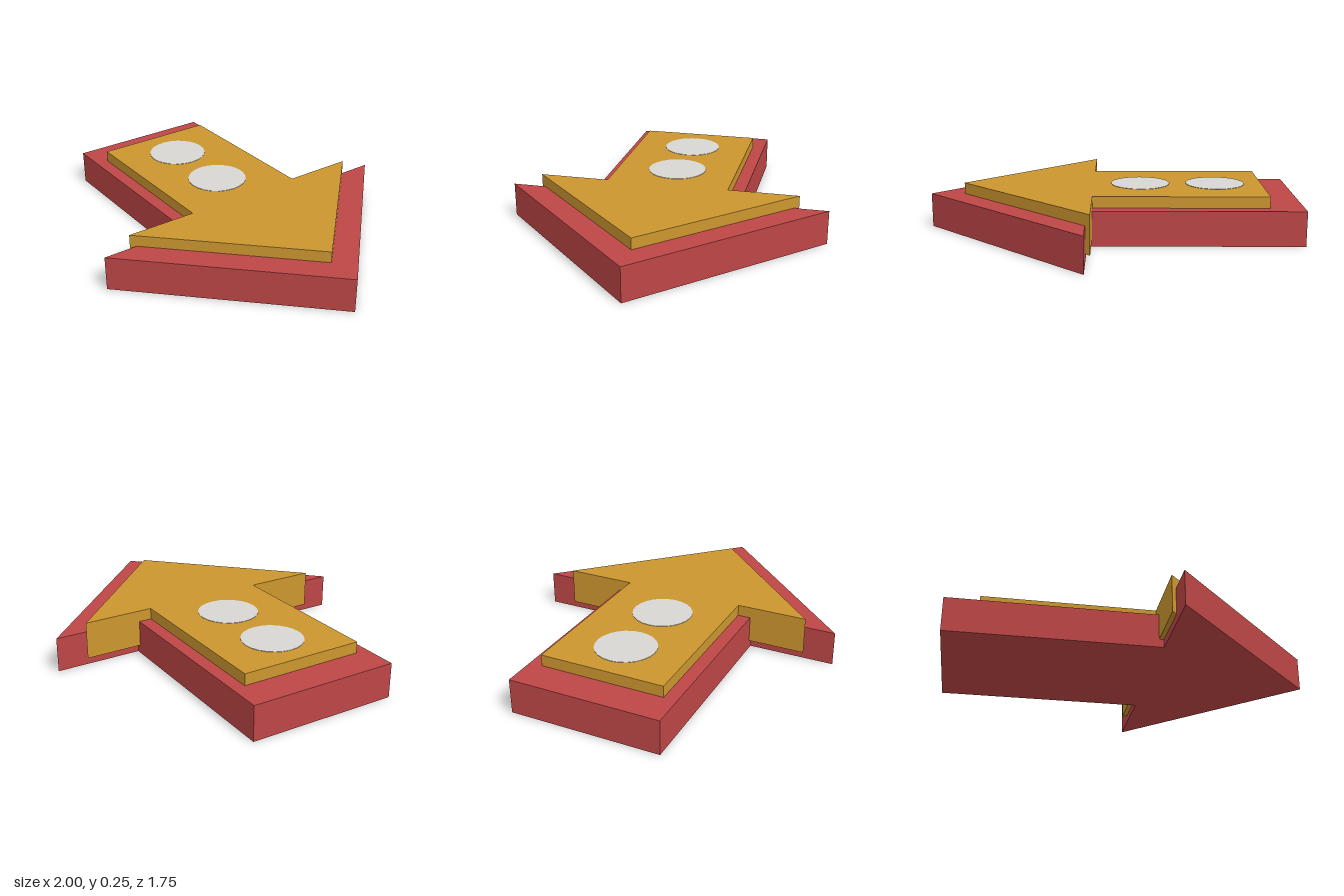
import * as THREE from 'three';

const material = (name, color) => Object.assign(new THREE.MeshStandardMaterial({ color }), { name });

// Flat arrow pointing to +x, extruded upward from y0 to y1
function arrow(name, mat, { tail, neck, tip, shaft, head, y0, y1 }) {
  const outline = [
    [tail, -shaft], [neck, -shaft], [neck, -head], [tip, 0],
    [neck, head], [neck, shaft], [tail, shaft],
  ].map(([x, y]) => new THREE.Vector2(x, y));
  const geometry = new THREE.ExtrudeGeometry(new THREE.Shape(outline), { depth: y1 - y0, bevelEnabled: false });
  geometry.rotateX(-Math.PI / 2);
  const mesh = new THREE.Mesh(geometry, mat);
  mesh.position.y = y0;
  mesh.name = name;
  return mesh;
}

export function createModel() {
  const red = material('red', 0xbe4646);
  const gold = material('gold', 0xcc962f);
  const lightGrey = material('light grey', 0xd8d7d2);

  const model = new THREE.Group();
  model.name = 'arrowSign';

  // Large base arrow with a smaller raised arrow set into it
  model.add(
    arrow('baseArrow', red, { tail: -1, neck: 0.125, tip: 1, shaft: 0.404, head: 0.873, y0: 0, y1: 0.186 }),
    arrow('raisedArrow', gold, { tail: -0.82, neck: 0.1, tip: 0.815, shaft: 0.334, head: 0.715, y0: 0.045, y1: 0.247 }),
  );

  // Two round discs on the shaft
  const discGeometry = new THREE.CylinderGeometry(0.161, 0.161, 0.006, 24);
  for (const [name, x] of [['tailDisc', -0.565], ['middleDisc', -0.155]]) {
    const disc = new THREE.Mesh(discGeometry, lightGrey);
    disc.name = name;
    disc.position.set(x, 0.246, 0);
    model.add(disc);
  }
  return model;
}
